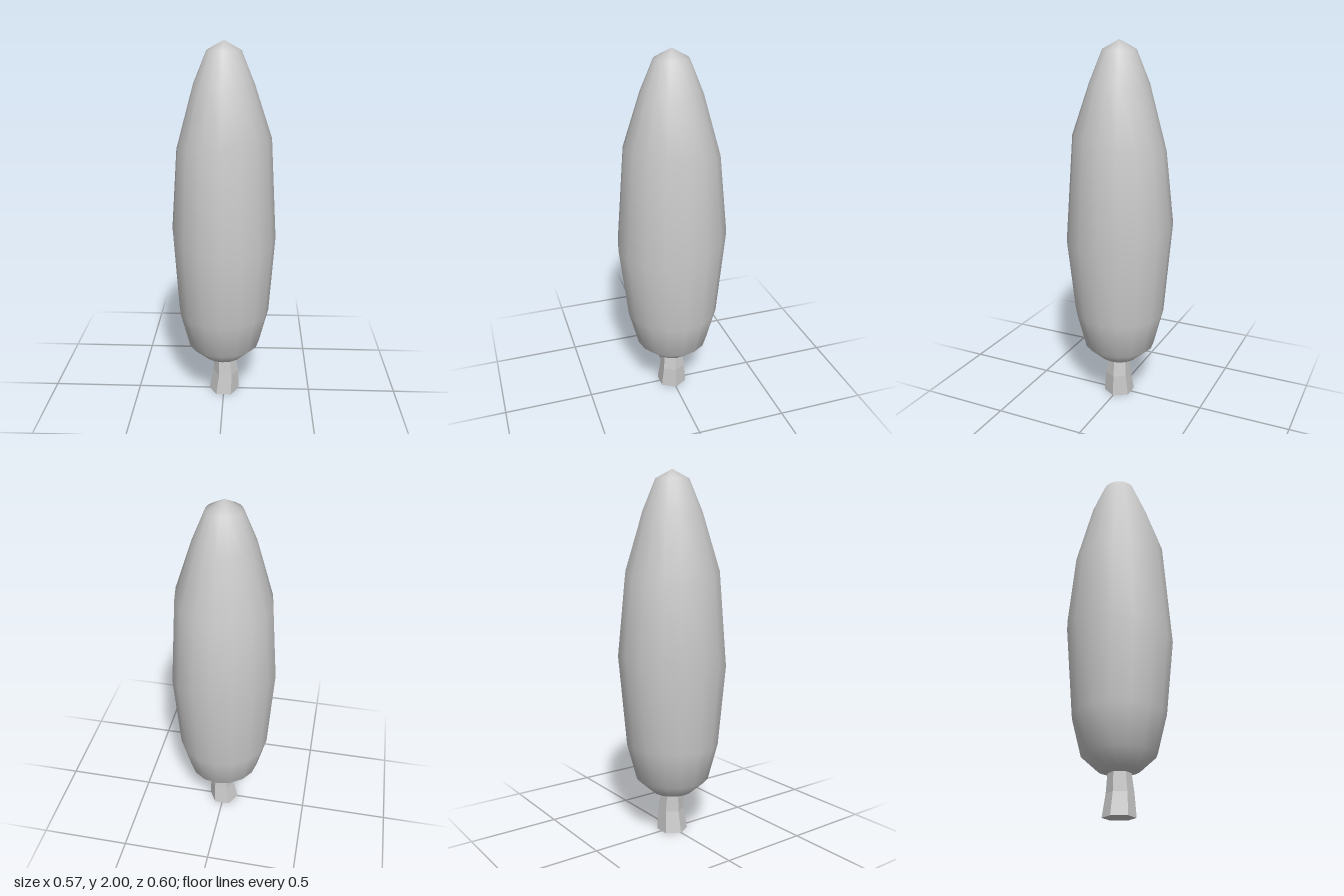
import * as THREE from 'three';
import { mergeVertices } from 'three/addons/utils/BufferGeometryUtils.js';

// Turned body from rings listed bottom to top. Each ring has a radius r and height y,
// plus optional z stretch, sideways offset cx, and a tilt along x and z.
function ringBody(rings, sides, phiStart, shear = 0) {
  const profile = rings.map(({ r, y }) => new THREE.Vector2(r, y));
  const geometry = new THREE.LatheGeometry(profile, sides, phiStart);
  const pos = geometry.attributes.position;
  for (let i = 0; i < pos.count; i++) {
    const { stretch = 1, cx = 0, tiltX = 0, tiltZ = 0 } = rings[i % rings.length];
    const x = pos.getX(i);
    const z = pos.getZ(i) * stretch;
    pos.setXYZ(i, x - shear * z + cx, pos.getY(i) + tiltX * x + tiltZ * z, z);
  }
  geometry.deleteAttribute('uv');
  geometry.deleteAttribute('normal');
  const welded = mergeVertices(geometry, 1e-5);
  welded.computeVertexNormals();
  return welded;
}

export function createModel() {
  const tree = new THREE.Group();
  tree.name = 'cypressTree';

  // Tall smooth crown with slightly uneven rings
  const crownRings = [
    { r: 0, y: 0.21 },
    { r: 0.11, y: 0.23 },
    { r: 0.2, y: 0.31 },
    { r: 0.253, y: 0.515 },
    { r: 0.284, y: 0.975, stretch: 1.053, tiltX: -0.09, tiltZ: -0.18 },
    { r: 0.253, y: 1.47, tiltX: 0.12, tiltZ: 0.12 },
    { r: 0.16, y: 1.78 },
    { r: 0.09, y: 1.95 },
    { r: 0, y: 2 },
  ];
  const crown = new THREE.Mesh(
    ringBody(crownRings, 16, 0, 0.03),
    new THREE.MeshStandardMaterial({ color: 0xcccccc })
  );
  crown.name = 'crown';
  tree.add(crown);

  // Faceted six-sided trunk, gently bent to one side, closed at both ends
  const trunkRings = [
    { r: 0, y: 0 },
    { r: 0.086, y: 0, cx: 0.001 },
    { r: 0.072, y: 0.12, cx: 0.011 },
    { r: 0.06, y: 0.23, cx: 0.005 },
    { r: 0, y: 0.23, cx: 0.005 },
  ];
  const trunk = new THREE.Mesh(
    ringBody(trunkRings, 6, Math.PI / 2),
    new THREE.MeshStandardMaterial({ color: 0xcccccc, flatShading: true })
  );
  trunk.name = 'trunk';
  tree.add(trunk);

  return tree;
}
